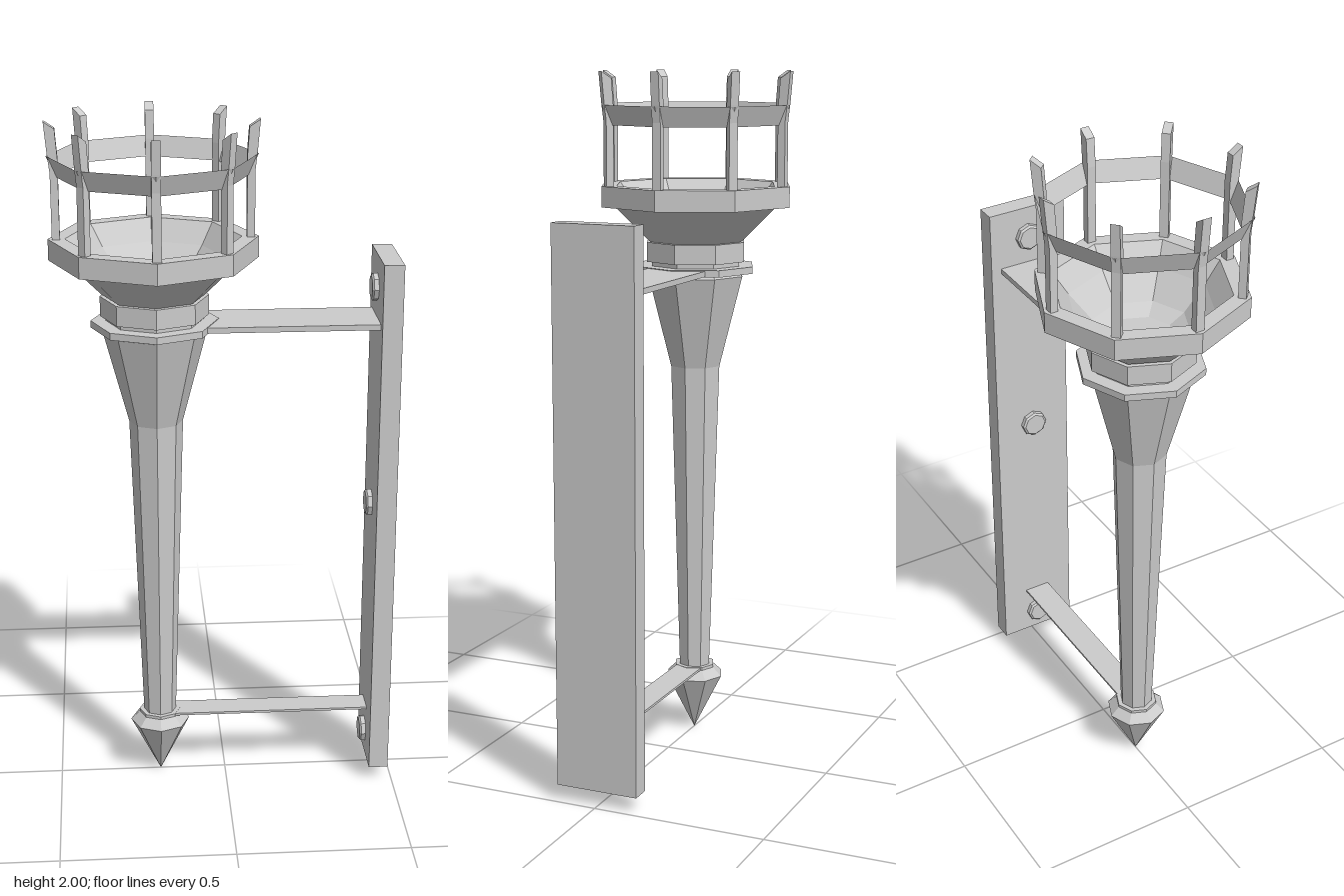
import * as THREE from 'three';

const AXIS_X = -0.197; // torch axis
const SIDES = 8;

export function createModel() {
  const model = new THREE.Group();
  model.name = 'wallTorch';
  const mat = new THREE.MeshStandardMaterial({ color: 0xcccccc, flatShading: true });
  const thinMat = new THREE.MeshStandardMaterial({ color: 0xcccccc, flatShading: true, side: THREE.DoubleSide });

  const add = (parent, name, geometry, material = mat) => {
    const mesh = new THREE.Mesh(geometry, material);
    mesh.name = name;
    parent.add(mesh);
    return mesh;
  };
  // Eight-sided turned part; profile of [radius, height] runs upward on the outside
  const turned = (profile) =>
    new THREE.LatheGeometry(profile.map(([r, y]) => new THREE.Vector2(r, y)), SIDES);
  // Box given by its limits
  const box = (x0, x1, y0, y1, z0, z1) =>
    new THREE.BoxGeometry(x1 - x0, y1 - y0, z1 - z0)
      .translate((x0 + x1) / 2, (y0 + y1) / 2, (z0 + z1) / 2);

  const torch = new THREE.Group();
  torch.name = 'torch';
  torch.position.x = AXIS_X;
  model.add(torch);

  // Pointed foot, tapering shaft and the collars
  add(torch, 'finial', turned([[0, 0.005], [0.088, 0.178], [0.06, 0.205], [0, 0.205]]));
  add(torch, 'lowerCollar', turned([[0, 0.204], [0.062, 0.204], [0.062, 0.213], [0, 0.213]]));
  add(torch, 'shaft', turned([[0.048, 0.21], [0.077, 1.14], [0.148, 1.41], [0.135, 1.425]]));
  add(torch, 'upperCollar', turned([[0, 1.42], [0.18, 1.42], [0.18, 1.44], [0, 1.44]]));
  add(torch, 'neck', turned([[0.138, 1.44], [0.138, 1.453], [0.153, 1.453], [0.153, 1.51], [0.13, 1.51]]));

  // Hollow bowl with a heavy rim
  add(torch, 'bowl', turned([
    [0.13, 1.505], [0.148, 1.515], [0.25, 1.615], [0.292, 1.615], [0.292, 1.675],
    [0.245, 1.675], [0.2, 1.615], [0.135, 1.545], [0.09, 1.52], [0, 1.52],
  ]));

  // Flared band round the basket
  add(torch, 'basketBand', turned([[0.266, 1.848], [0.29, 1.905]]), thinMat);

  // Upright bars ending in slanted points, one at each corner
  const barShape = new THREE.Shape([
    [0.258, 1.67], [0.28, 1.67], [0.28, 1.86], [0.286, 1.91],
    [0.294, 2.0], [0.264, 1.98], [0.258, 1.9],
  ].map(([r, y]) => new THREE.Vector2(r, y)));
  const barGeometry = new THREE.ExtrudeGeometry(barShape, { depth: 0.025, bevelEnabled: false })
    .translate(0, 0, -0.0125);
  for (let i = 0; i < SIDES; i++) {
    add(torch, 'basketBar', barGeometry).rotation.y = (i / SIDES) * Math.PI * 2;
  }

  // Flat bracket arms from the wall plate to the collars
  add(model, 'upperArm', box(AXIS_X + 0.1, 0.432, 1.422, 1.438, -0.09, 0.09));
  add(model, 'lowerArm', box(AXIS_X + 0.02, 0.432, 0.205, 0.212, -0.04, 0.04));

  // Wall plate with three bolts
  add(model, 'wallPlate', box(0.43, 0.487, 0.05, 1.615, -0.121, 0.121));
  const boltGeometry = turned([[0.04, 0], [0.04, 0.013], [0.034, 0.018], [0, 0.018]]).rotateZ(Math.PI / 2);
  for (const y of [0.12, 0.87, 1.523]) {
    add(model, 'bolt', boltGeometry).position.set(0.43, y, 0);
  }

  return model;
}
